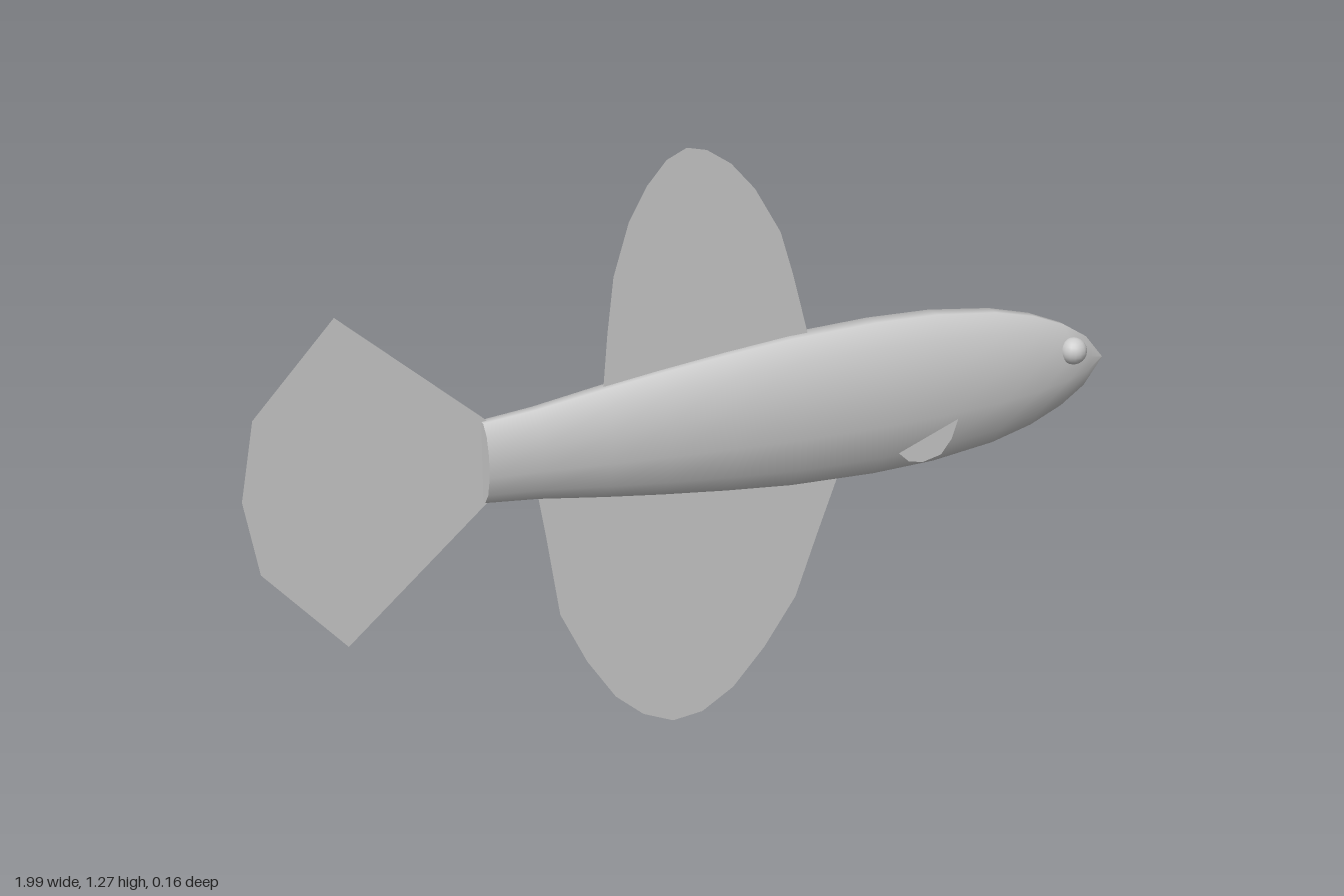
import * as THREE from 'three';

const AXIS_Y = 0.67;
const material = new THREE.MeshStandardMaterial({ color: 0xcccccc });
const thinMaterial = new THREE.MeshStandardMaterial({ color: 0xcccccc, side: THREE.DoubleSide });

function add(parent, name, geometry, mat = material) {
  const mesh = new THREE.Mesh(geometry, mat);
  mesh.name = name;
  parent.add(mesh);
  return mesh;
}

// Flat fin in the x-y plane from its outline
function finGeometry(outline) {
  return new THREE.ShapeGeometry(new THREE.Shape(outline.map(([x, y]) => new THREE.Vector2(x, y))));
}

// Round profile [x, radius] spun about the long axis, then flattened sideways
function bodyGeometry() {
  const profile = [
    [-0.495, 0.089], [-0.38, 0.1], [-0.23, 0.122], [-0.1, 0.139], [0.05, 0.156],
    [0.2, 0.17], [0.4, 0.177], [0.55, 0.173], [0.7, 0.155], [0.8, 0.13],
    [0.88, 0.097], [0.94, 0.059], [0.99, 0],
  ].map(([x, r]) => new THREE.Vector2(r, x));
  return new THREE.LatheGeometry(profile, 12, Math.PI / 12)
    .rotateZ(-Math.PI / 2)
    .scale(1, 1, 0.44)
    .translate(0, AXIS_Y, 0);
}

export function createModel() {
  const fish = new THREE.Group();
  fish.name = 'fish';

  // Body and the flat end at the tail root
  add(fish, 'body', bodyGeometry());
  const cap = new THREE.CircleGeometry(0.089, 12, Math.PI / 12)
    .rotateY(-Math.PI / 2)
    .scale(1, 1, 0.44)
    .translate(-0.495, AXIS_Y, 0);
  add(fish, 'bodyEnd', cap);

  // Fins along the middle plane, rooted inside the body
  add(fish, 'dorsalFin', finGeometry([
    [-0.22, 0.75], [-0.225, 0.79], [-0.215, 0.9], [-0.2, 1.02], [-0.165, 1.13], [-0.125, 1.2],
    [-0.08, 1.25], [-0.035, 1.27], [0.01, 1.26], [0.065, 1.225], [0.12, 1.165],
    [0.18, 1.065], [0.21, 0.97], [0.245, 0.84], [0.26, 0.78],
  ]), thinMaterial);
  add(fish, 'ventralFin', finGeometry([
    [-0.38, 0.61], [-0.375, 0.575], [-0.36, 0.49], [-0.33, 0.3], [-0.27, 0.18], [-0.205, 0.085],
    [-0.14, 0.03], [-0.07, 0], [0, 0.007], [0.075, 0.05], [0.15, 0.13],
    [0.225, 0.235], [0.275, 0.37], [0.325, 0.5], [0.34, 0.55],
  ]), thinMaterial);
  add(fish, 'tailFin', finGeometry([
    [-0.48, 0.755], [-0.795, 1.02], [-0.97, 0.835], [-1, 0.67], [-0.97, 0.51],
    [-0.795, 0.32], [-0.48, 0.585],
  ]), thinMaterial);

  // Paired side fins and eyes
  for (const [side, s] of [['front', 1], ['back', -1]]) {
    const fin = add(fish, `${side}SideFin`, finGeometry([
      [0.43, 0.56], [0.455, 0.537], [0.49, 0.53], [0.535, 0.54], [0.56, 0.572], [0.575, 0.615],
    ]), thinMaterial);
    fin.position.z = s * 0.078;

    const eye = add(fish, `${side}Eye`, new THREE.SphereGeometry(0.03, 16, 12));
    eye.position.set(0.887, 0.711, s * 0.04);
  }
  return fish;
}
